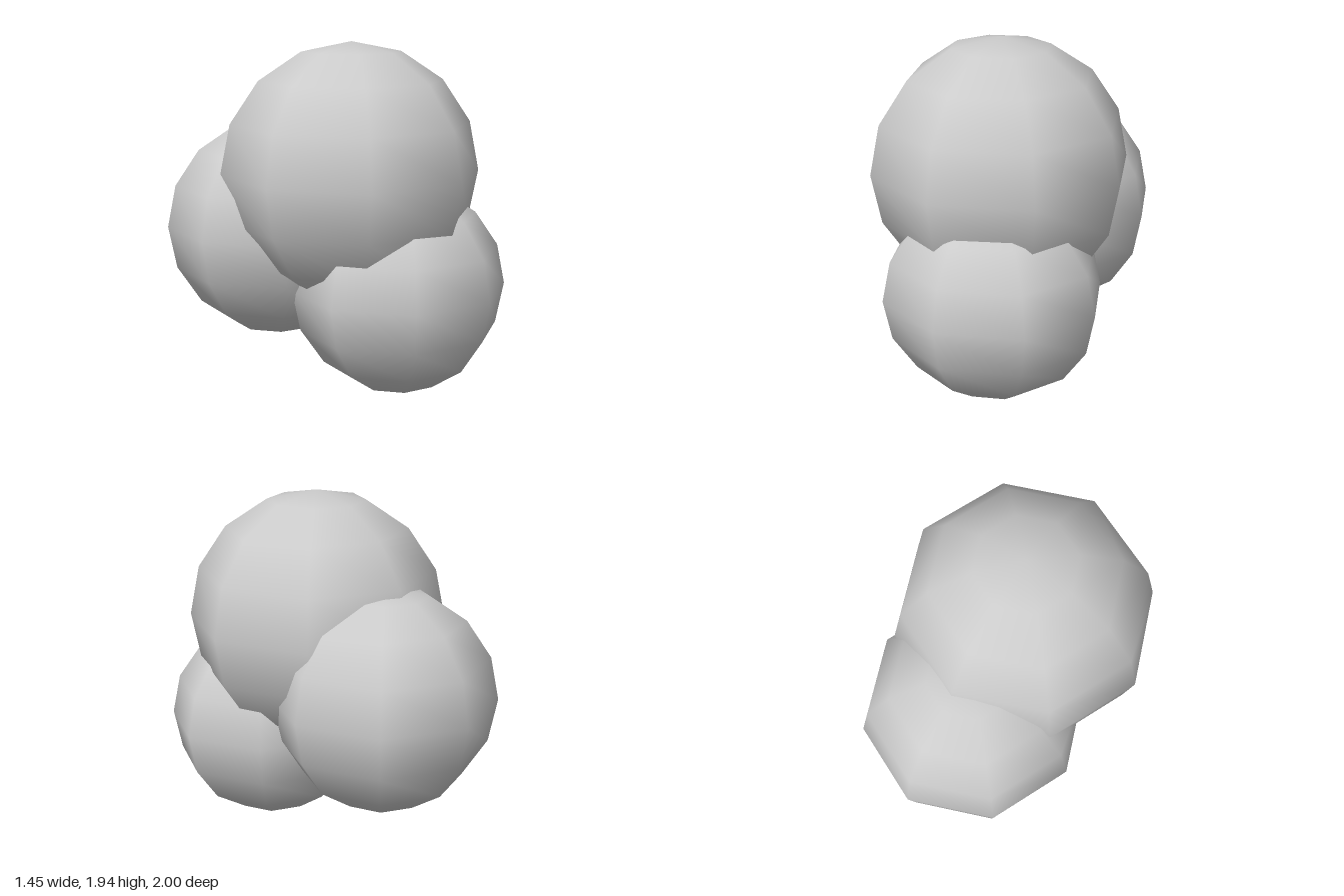
import * as THREE from 'three';

const material = new THREE.MeshStandardMaterial({ color: 0xcccccc });

// Smooth-shaded ball with 8 sides and 8 rings, stretched by its three radii
function ball(name, center, radii) {
  const geometry = new THREE.SphereGeometry(1, 8, 8);
  geometry.scale(...radii);
  const mesh = new THREE.Mesh(geometry, material);
  mesh.name = name;
  mesh.position.set(...center);
  return mesh;
}

export function createModel() {
  const group = new THREE.Group();
  group.name = 'ballCluster';
  group.add(
    // large ball on top
    ball('upperBall', [-0.005, 1.22, 0.155], [0.722, 0.72, 0.722]),
    // slightly widened ball low at the front
    ball('frontBall', [0.1, 0.585, 0.417], [0.625, 0.585, 0.583]),
    // ball leaning on the back
    ball('backBall', [-0.023, 0.862, -0.37], [0.63, 0.63, 0.63])
  );
  return group;
}
